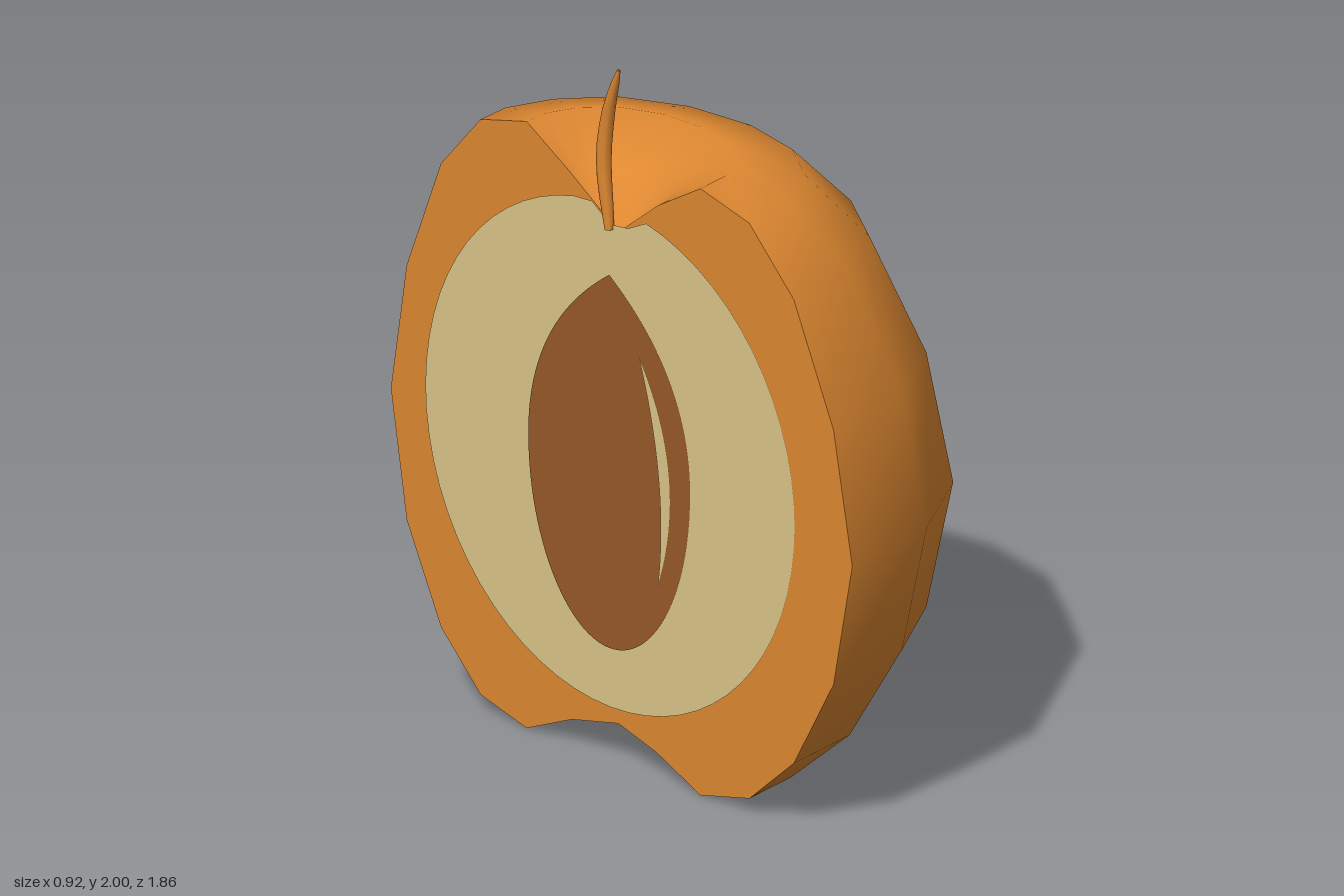
import * as THREE from 'three';
import { mergeVertices } from 'three/addons/utils/BufferGeometryUtils.js';

const CUT = -0.44; // x of the flat cut side

// Radius fraction and height, from the bottom dimple to the top dimple
const PROFILE = [[0, 0.12], [0.16, 0.08], [0.35, 0.005], [0.56, 0.05], [0.75, 0.2], [0.92, 0.47], [1, 0.83],
  [0.92, 1.2], [0.75, 1.53], [0.56, 1.7], [0.35, 1.745], [0.17, 1.65], [0, 1.53]];

// Half outline seen from above (x from the cut, z), front to back
const OUTLINE = [[0, 0.925], [0.34, 0.85], [0.63, 0.64], [0.825, 0.33], [0.895, -0.04],
  [0.825, -0.41], [0.65, -0.71], [0.41, -0.87], [0.18, -0.93], [0, -0.9]];

// The back is slightly fuller than the front
function ringPoint([r, y], [ox, oz]) {
  const k = Math.pow(r, 1 - 0.15 * Math.max(0, -oz));
  return [CUT + k * ox, y, k * oz];
}

function skinGeometry() {
  const pos = [], idx = [], n = OUTLINE.length;
  for (const p of PROFILE) for (const o of OUTLINE) pos.push(...ringPoint(p, o));
  for (let i = 0; i < PROFILE.length - 1; i++) {
    for (let j = 0; j < n - 1; j++) {
      const a = i * n + j, b = a + 1, c = b + n, d = a + n;
      if (i > 0) idx.push(a, b, c);
      if (i < PROFILE.length - 2) idx.push(a, c, d);
      else if (i === 0) idx.push(a, c, d);
    }
  }
  const g = new THREE.BufferGeometry();
  g.setAttribute('position', new THREE.Float32BufferAttribute(pos, 3));
  g.setIndex(idx);
  const merged = mergeVertices(g, 1e-4);
  merged.computeVertexNormals();
  return merged;
}

// Flat shape given in (z, y), facing -x at a small height above the cut
function cutPlate(name, shape, material, lift) {
  const g = new THREE.ShapeGeometry(shape, 24);
  g.rotateY(-Math.PI / 2);
  g.translate(CUT - lift, 0, 0);
  const mesh = new THREE.Mesh(g, material);
  mesh.name = name;
  return mesh;
}

// Curved stem, its radius varying along its length
function stemGeometry() {
  const curve = new THREE.CatmullRomCurve3([
    new THREE.Vector3(-0.445, 1.53, -0.03), new THREE.Vector3(-0.44, 1.72, -0.058),
    new THREE.Vector3(-0.438, 1.86, -0.042), new THREE.Vector3(-0.45, 2.0, 0.012)]);
  const rings = 10, sides = 8;
  const g = new THREE.TubeGeometry(curve, rings, 1, sides, false);
  const p = g.attributes.position, v = new THREE.Vector3();
  for (let i = 0; i <= rings; i++) {
    const t = i / rings, c = curve.getPointAt(t);
    const radius = 0.005 + 0.016 * Math.pow(Math.sin(Math.PI * Math.min(1, 0.12 + t * 0.88)), 0.7);
    for (let j = 0; j <= sides; j++) {
      const k = i * (sides + 1) + j;
      v.fromBufferAttribute(p, k).sub(c).multiplyScalar(radius).add(c);
      p.setXYZ(k, v.x, Math.min(v.y, 2), v.z);
    }
  }
  g.computeVertexNormals();
  return g;
}

export function createModel() {
  const group = new THREE.Group();
  group.name = 'halvedFruit';
  const mat = (name, color, side = THREE.FrontSide) => {
    const m = new THREE.MeshStandardMaterial({ color, side });
    m.name = name;
    return m;
  };
  const orange = mat('orangeSkin', 0xde8831);
  const stemOrange = mat('stemOrange', 0xde8831, THREE.DoubleSide);
  const cream = mat('paleFlesh', 0xdac488);
  const brown = mat('brownPit', 0x985827);

  const skin = new THREE.Mesh(skinGeometry(), orange);
  skin.name = 'skin';
  group.add(skin);

  // Cut side, bounded by the two ends of the skin
  const edge = (o) => PROFILE.map((p) => ringPoint(p, o)).map(([, y, z]) => new THREE.Vector2(z, y));
  const rim = [...edge(OUTLINE[0]), ...edge(OUTLINE[OUTLINE.length - 1]).slice(1, -1).reverse()];
  group.add(cutPlate('cutFace', new THREE.Shape(rim), orange, 0));

  // Pale flesh disc, dipping under the stem hollow
  const disc = [];
  for (let i = 0; i < 64; i++) {
    const a = (i / 64) * Math.PI * 2;
    const z = -0.03 + 0.73 * Math.cos(a), y = 0.88 + 0.72 * Math.sin(a);
    disc.push(new THREE.Vector2(z, Math.min(y, 1.525 + 0.65 * Math.abs(z))));
  }
  group.add(cutPlate('flesh', new THREE.Shape(disc), cream, 0.003));

  // Pit, pointed at the top
  const pit = new THREE.Shape();
  pit.moveTo(-0.03, 1.4);
  pit.bezierCurveTo(-0.24, 1.26, -0.35, 1.08, -0.35, 0.86);
  pit.bezierCurveTo(-0.35, 0.56, -0.2, 0.33, -0.03, 0.33);
  pit.bezierCurveTo(0.14, 0.33, 0.29, 0.56, 0.29, 0.86);
  pit.bezierCurveTo(0.29, 1.08, 0.18, 1.26, -0.03, 1.4);
  group.add(cutPlate('pit', pit, brown, 0.006));

  // Pale crescent on the pit
  const crescent = new THREE.Shape();
  crescent.moveTo(0.09, 1.2);
  crescent.quadraticCurveTo(0.21, 0.86, 0.165, 0.56);
  crescent.quadraticCurveTo(0.29, 0.9, 0.09, 1.2);
  group.add(cutPlate('pitCrescent', crescent, cream, 0.009));

  const stem = new THREE.Mesh(stemGeometry(), stemOrange);
  stem.name = 'stem';
  group.add(stem);
  return group;
}
